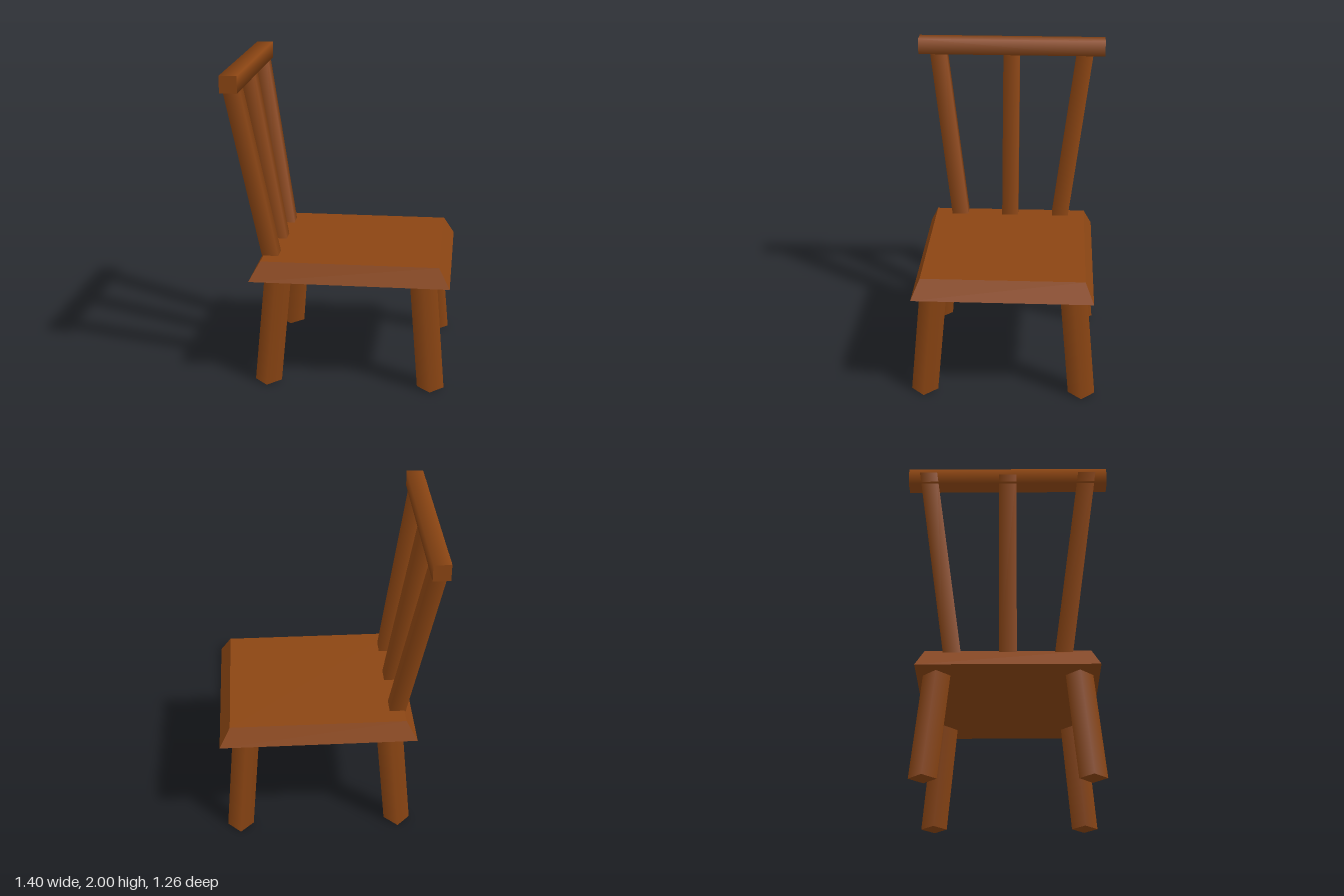
import * as THREE from 'three';

const wood = new THREE.MeshStandardMaterial({ color: 0x8b4513 });

// Four-sided leaning rod with level ends; b and t are the end centres, w and d the corner-to-corner or flat widths
function rod(name, b, t, w, d, diamond) {
  const k = diamond ? 0.5 : Math.SQRT1_2;
  const h = t[1] - b[1];
  const g = new THREE.CylinderGeometry(k, k, 1, 4);
  if (!diamond) g.rotateY(Math.PI / 4);
  g.translate(0, 0.5, 0);
  g.applyMatrix4(new THREE.Matrix4().set(
    w, t[0] - b[0], 0, b[0],
    0, h, 0, b[1],
    0, t[2] - b[2], d, b[2],
    0, 0, 0, 1));
  const mesh = new THREE.Mesh(g, wood);
  mesh.name = name;
  return mesh;
}

export function createModel() {
  const chair = new THREE.Group();
  chair.name = 'chair';

  // Seat slab with bevelled sides
  const seatGeo = new THREE.BoxGeometry(1.255, 0.12, 1.13);
  const p = seatGeo.attributes.position;
  for (let i = 0; i < p.count; i++) {
    if (p.getY(i) > 0) p.setXYZ(i, p.getX(i) * 0.89, p.getY(i), p.getZ(i) * 0.905);
  }
  seatGeo.computeVertexNormals();
  const seat = new THREE.Mesh(seatGeo, wood);
  seat.name = 'seat';
  seat.position.set(0.065, 0.748, 0);
  chair.add(seat);

  // Splayed legs, set cornerwise
  for (const sx of [-1, 1]) {
    for (const sz of [-1, 1]) {
      chair.add(rod(sx > 0 ? 'frontLeg' : 'backLeg',
        [0.065 + sx * 0.52, 0, sz * 0.503], [0.065 + sx * 0.458, 0.72, sz * 0.437], 0.17, 0.17, true));
    }
  }

  // Back spindles, leaning back and fanning outwards
  for (const s of [-1, 0, 1]) {
    const top = s ? 1.97 : 1.955;
    chair.add(rod('backSpindle',
      [-0.443, 0.77, s * 0.34], [-0.443 - 0.174 * (top - 0.77), top, s * 0.505], 0.104, 0.11, false));
  }

  // Top rail across the spindles
  const railGeo = new THREE.CylinderGeometry(Math.SQRT1_2, Math.SQRT1_2, 1, 4);
  railGeo.rotateY(Math.PI / 4).rotateX(Math.PI / 2).scale(0.108, 0.105, 1.26);
  const rail = new THREE.Mesh(railGeo, wood);
  rail.name = 'topRail';
  rail.position.set(-0.639, 1.9475, 0);
  chair.add(rail);

  return chair;
}
